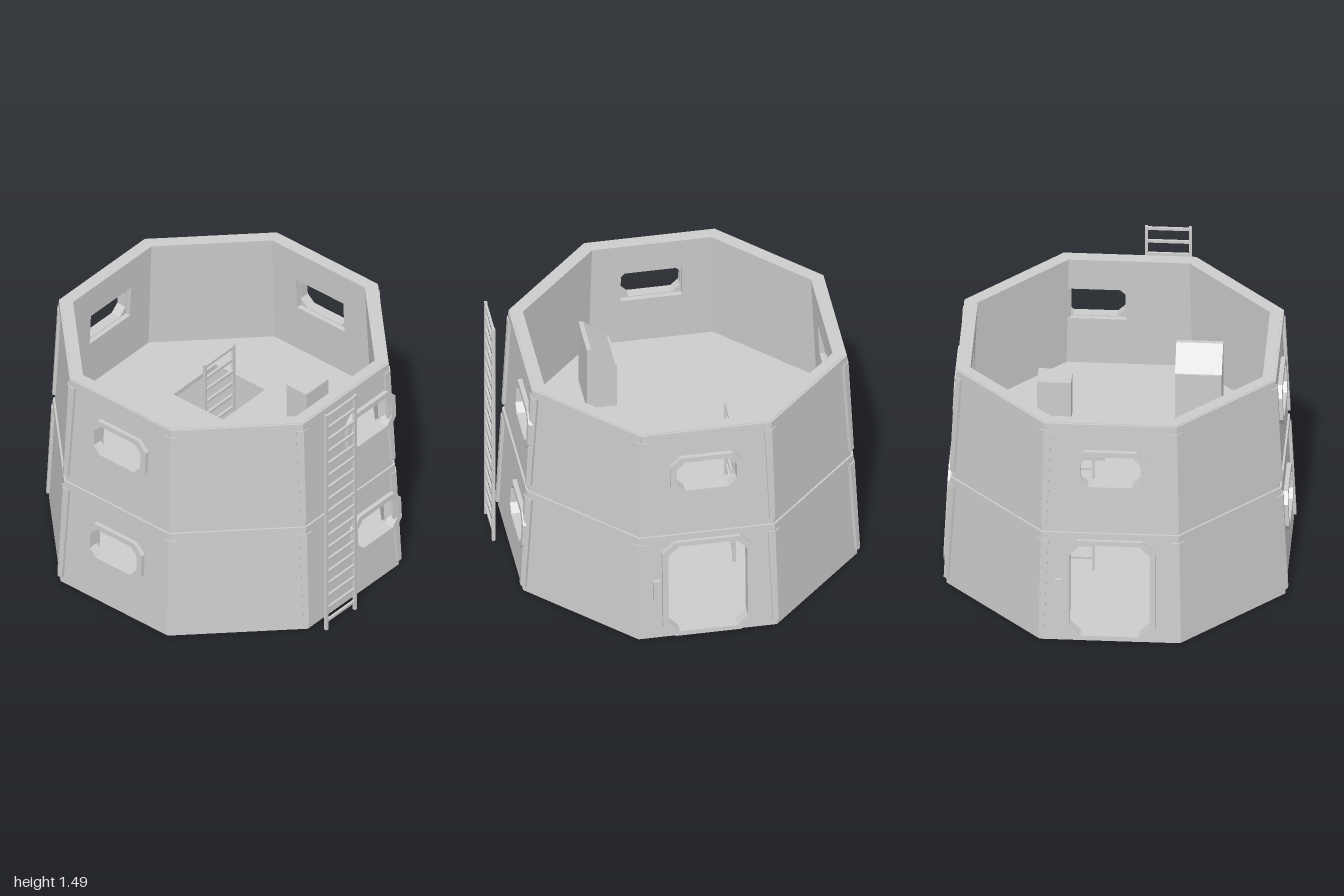
import * as THREE from 'three';

const grey = new THREE.MeshStandardMaterial({ color: 0xcccccc });
grey.name = 'plain grey';

const H = 1.38, MID = 0.69, SLOPE = 0.047, WALL = 0.065;
const K = Math.tan(Math.PI / 8);
const apothem = (y) => 0.94 - SLOPE * y;
const halfWidth = (y) => apothem(y) * K;

function add(parent, name, geometry, x = 0, y = 0, z = 0) {
  const mesh = new THREE.Mesh(geometry, grey);
  mesh.name = name;
  mesh.position.set(x, y, z);
  parent.add(mesh);
  return mesh;
}

const poly = (pts) => pts.map(([x, y]) => new THREE.Vector2(x, y));
const rect = (cx, cy, w, h) => poly([[cx - w, cy - h], [cx + w, cy - h], [cx + w, cy + h], [cx - w, cy + h]]);
const chamfered = (cx, cy, w, h, c) => poly([
  [cx - w + c, cy - h], [cx + w - c, cy - h], [cx + w, cy - h + c], [cx + w, cy + h - c],
  [cx + w - c, cy + h], [cx - w + c, cy + h], [cx - w, cy + h - c], [cx - w, cy - h + c]]);

function extrude(outline, holes, depth) {
  const shape = new THREE.Shape(outline);
  holes.forEach((h) => shape.holes.push(new THREE.Path(h)));
  return new THREE.ExtrudeGeometry(shape, { depth, bevelEnabled: false });
}

// Plate lying on the sloping wall, from depth z0 to z1 measured outward
function wallPlate(outline, holes, z0, z1) {
  const geometry = extrude(outline, holes, z1 - z0);
  geometry.translate(0, 0, z0 + apothem(0));
  return geometry.applyMatrix4(new THREE.Matrix4().set(
    1, 0, 0, 0, 0, 1, 0, 0, 0, -SLOPE, 1, 0, 0, 0, 0, 1));
}

// Strip across the whole face between two heights
function across(y0, y1, extra = 0) {
  const a = halfWidth(y0) + extra, b = halfWidth(y1) + extra;
  return poly([[-a, y0], [a, y0], [b, y1], [-b, y1]]);
}

const windowAt = (x, y) => ({ name: 'windowFrame', x, y, w: 0.168, h: 0.095, rim: 0.036, cut: 0.045, out: 0.025 });
const door = { name: 'doorFrame', x: 0, y: 0.333, w: 0.222, h: 0.287, rim: 0.033, cut: 0.06, out: 0.03 };

// One wall panel of one storey, with its opening, frame, band and corner posts
function addStorey(face, y0, y1, opening) {
  const holes = [];
  if (opening) {
    const { name, x, y, w, h, rim, cut, out } = opening;
    const inner = chamfered(x, y, w, h, cut);
    holes.push(rect(x, y, w + 0.004, h + 0.004));
    add(face, name + 'Lining', wallPlate(rect(x, y, w + 0.004, h + 0.004), [inner], -0.035, 0.002));
    add(face, name, wallPlate(chamfered(x, y, w + rim, h + rim * 0.85, cut + 0.012), [inner], 0, out));
    if (opening === door) {
      add(face, 'doorKeypad', wallPlate(rect(-0.285, 0.33, 0.02, 0.06), [], 0, 0.022));
    }
  }
  add(face, 'wallPanel', wallPlate(across(y0, y1), holes, -WALL, 0));
  add(face, 'topBand', wallPlate(across(y1 - 0.048, y1 - 0.003, 0.004), [], -0.01, 0.011));

  const bottom = y0 + 0.04, top = y1 - 0.048;
  for (const s of [-1, 1]) {
    const a = halfWidth(bottom) + 0.007, b = halfWidth(top) + 0.007;
    const post = poly([[s * a, bottom], [s * (a - 0.03), bottom], [s * (b - 0.042), top], [s * b, top]]);
    add(face, 'cornerPost', wallPlate(post, [], -0.005, 0.017));
  }
}

function octagonSlab(radius, thickness, holes = []) {
  const pts = [];
  for (let i = 0; i < 8; i++) {
    const a = (i + 0.5) * Math.PI / 4, r = radius / Math.cos(Math.PI / 8);
    pts.push([r * Math.cos(a), r * Math.sin(a)]);
  }
  return extrude(poly(pts), holes, thickness).rotateX(-Math.PI / 2);
}

function ladder(name, x0, x1, y0, y1, z) {
  const group = new THREE.Group();
  group.name = name;
  const rail = new THREE.BoxGeometry(0.016, y1 - y0, 0.018);
  for (const x of [x0 + 0.008, x1 - 0.008]) add(group, 'ladderRail', rail, x, (y0 + y1) / 2, z);
  const rung = new THREE.BoxGeometry(x1 - x0 - 0.016, 0.016, 0.014);
  for (let y = y1 - 0.015; y > y0 + 0.02; y -= 0.083) add(group, 'ladderRung', rung, (x0 + x1) / 2, y, z);
  return group;
}

export function createModel() {
  const model = new THREE.Group();
  model.name = 'octagonalTower';

  const body = new THREE.Group();
  body.name = 'towerBody';
  body.position.set(-0.015, 0, -0.03);
  model.add(body);

  // Openings by face, counted from the front toward +x
  const lower = { 0: windowAt(0.2, 0.392), 2: door, 4: door, 6: windowAt(0, 0.392) };
  const upper = { 0: windowAt(0.19, 1.085), 2: windowAt(0, 1.085), 4: windowAt(0, 1.085), 6: windowAt(0, 1.085) };
  for (let i = 0; i < 8; i++) {
    const face = new THREE.Group();
    face.name = 'wallFace';
    face.rotation.y = i * Math.PI / 4;
    addStorey(face, 0, MID, lower[i]);
    addStorey(face, MID, H, upper[i]);
    body.add(face);
  }

  // Floors, the upper one with a hatch
  add(body, 'groundFloor', octagonSlab(0.935, 0.03));
  add(body, 'upperFloor', octagonSlab(0.86, 0.03, [rect(0.255, 0.25, 0.18, 0.18)]), 0, MID - 0.03, 0);

  // Ladders outside and through the hatch
  model.add(ladder('outerLadder', -0.35, -0.09, 0, 1.485, 0.991));
  model.add(ladder('hatchLadder', 0.11, 0.37, 0.03, 0.95, -0.28));

  // Furniture on the upper floor
  add(model, 'stool', new THREE.BoxGeometry(0.19, 0.26, 0.145), 0.365, MID + 0.13, 0.255);
  const profile = poly([[0.26, MID], [0.43, MID], [0.43, 1.1], [0.405, 1.1], [0.27, 0.98], [0.26, 0.98]]);
  add(model, 'console', extrude(profile, [], 0.26).rotateY(-Math.PI / 2), -0.3, 0, 0);

  return model;
}
